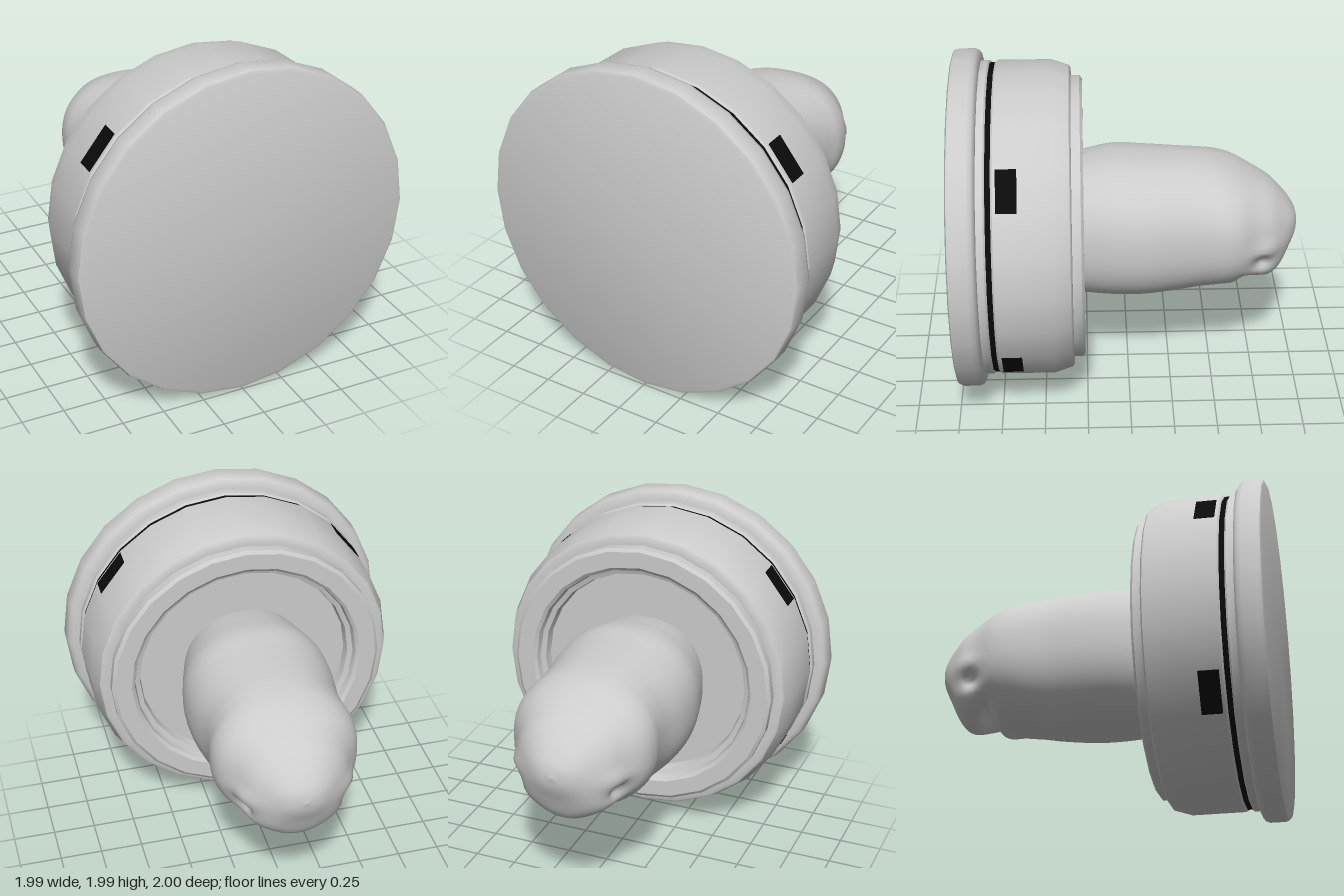
import * as THREE from 'three';
import { toCreasedNormals } from 'three/addons/utils/BufferGeometryUtils.js';

const SIDES = 24;
const grey = new THREE.MeshStandardMaterial({ color: 0xcccccc });
grey.name = 'stone grey';
const black = new THREE.MeshStandardMaterial({ color: 0x0a0a0a });
black.name = 'black';

// Turned part around the z axis, profile given as [radius, z]
function turned(name, profile, material) {
  const points = profile.map(([r, z]) => new THREE.Vector2(r, z));
  const lathe = new THREE.LatheGeometry(points, SIDES).rotateX(Math.PI / 2);
  const mesh = new THREE.Mesh(toCreasedNormals(lathe, 0.6), material);
  mesh.name = name;
  return mesh;
}

const bell = (d, width) => Math.exp(-(d * d) / (width * width));

// Soft bumps and dents that form the face
function sculpt(p) {
  const side = Math.sign(p.x);
  const ax = Math.abs(p.x);
  const under = THREE.MathUtils.smoothstep(0.86 - p.y, 0, 0.2);
  const eye = bell(p.y - 0.83, 0.04) * bell(p.z + 0.77, 0.05);
  const brow = bell(p.y - 0.92, 0.05) * bell(p.z + 0.8, 0.09);
  const cheek = bell(p.y - 0.74, 0.06) * bell(p.z + 0.79, 0.1);
  const outer = THREE.MathUtils.smoothstep(ax, 0.1, 0.2);
  p.x += side * outer * (0.025 * brow + 0.02 * cheek - 0.04 * eye);
  // mouth slit between two lips, curving towards the corners
  const across = bell(ax, 0.21);
  const bend = p.z - 0.6 * ax * ax;
  p.y += under * across * (0.09 * bell(bend + 0.715, 0.035)
    - 0.035 * bell(bend + 0.635, 0.04) - 0.03 * bell(bend + 0.84, 0.06));
}

// Body lofted through stations of [z, top, bottom, half width]
function loft() {
  const stations = [
    [0.4, 1.35, 0.57, 0.36], [0.26, 1.38, 0.555, 0.4], [0.08, 1.41, 0.547, 0.44],
    [-0.1, 1.4, 0.548, 0.44], [-0.3, 1.39, 0.567, 0.412], [-0.42, 1.38, 0.59, 0.412],
    [-0.53, 1.36, 0.61, 0.425], [-0.63, 1.325, 0.63, 0.405], [-0.74, 1.27, 0.65, 0.335],
    [-0.83, 1.215, 0.66, 0.285], [-0.895, 1.155, 0.7, 0.225], [-0.95, 1.09, 0.81, 0.155],
    [-0.985, 1.03, 0.89, 0.085], [-1, 0.965, 0.96, 0.003],
  ];
  const heights = new THREE.CatmullRomCurve3(
    stations.map(([z, t, b]) => new THREE.Vector3(z, t, b)), false, 'catmullrom');
  const widths = new THREE.CatmullRomCurve3(
    stations.map(([z, , , w]) => new THREE.Vector3(z, w, 0)), false, 'catmullrom');
  const rings = 104, around = 72;
  const positions = [], index = [];
  const soft = (v) => Math.sign(v) * Math.pow(Math.abs(v), 0.88);
  const p = new THREE.Vector3();
  for (let i = 0; i <= rings; i++) {
    const h = heights.getPoint(i / rings);
    const w = widths.getPoint(i / rings).y;
    for (let j = 0; j < around; j++) {
      const a = (j / around) * Math.PI * 2;
      p.set(w * soft(Math.cos(a)), (h.y + h.z) / 2 + ((h.y - h.z) / 2) * soft(Math.sin(a)), h.x);
      sculpt(p);
      positions.push(p.x, p.y, p.z);
      if (i === rings) continue;
      const k = (j + 1) % around;
      const a0 = i * around + j, a1 = i * around + k;
      index.push(a0, a0 + around, a1, a1, a0 + around, a1 + around);
    }
  }
  const geometry = new THREE.BufferGeometry();
  geometry.setAttribute('position', new THREE.Float32BufferAttribute(positions, 3));
  geometry.setIndex(index);
  geometry.computeVertexNormals();
  return geometry;
}

export function createModel() {
  const model = new THREE.Group();
  model.name = 'mountedCreature';

  const housing = new THREE.Group();
  housing.name = 'housing';
  housing.position.y = 1;
  model.add(housing);

  // Barrel with recessed floor, rounded rim, groove and wide flange
  housing.add(turned('barrel', [
    [0, 0.37], [0.64, 0.37], [0.65, 0.32], [0.68, 0.31], [0.69, 0.275], [0.71, 0.26],
    [0.81, 0.26], [0.83, 0.275], [0.83, 0.325], [0.875, 0.325], [0.89, 0.335],
    [0.925, 0.44], [0.925, 0.75], [0.915, 0.76], [0.908, 0.76], [0.908, 0.79],
    [0.915, 0.79], [0.925, 0.8], [0.925, 0.84], [0.965, 0.845], [0.985, 0.86],
    [0.995, 0.885], [0.995, 0.975], [0.988, 0.992], [0.97, 1], [0, 1],
  ], grey));
  housing.add(turned('grooveBand', [[0.913, 0.757], [0.913, 0.793]], black));

  // Dark plates, each covering one facet of the barrel
  const apothem = 0.925 * Math.cos(Math.PI / SIDES);
  const facet = 2 * 0.925 * Math.sin(Math.PI / SIDES);
  for (const degrees of [37.5, 142.5, 217.5, 322.5]) {
    const a = THREE.MathUtils.degToRad(degrees);
    const plate = new THREE.Mesh(new THREE.BoxGeometry(0.008, facet, 0.115), black);
    plate.name = 'sidePlate';
    plate.position.set(Math.cos(a) * apothem, Math.sin(a) * apothem, 0.675);
    plate.rotation.z = a;
    housing.add(plate);
  }

  const creature = new THREE.Mesh(loft(), grey);
  creature.name = 'creatureBody';
  model.add(creature);
  return model;
}
